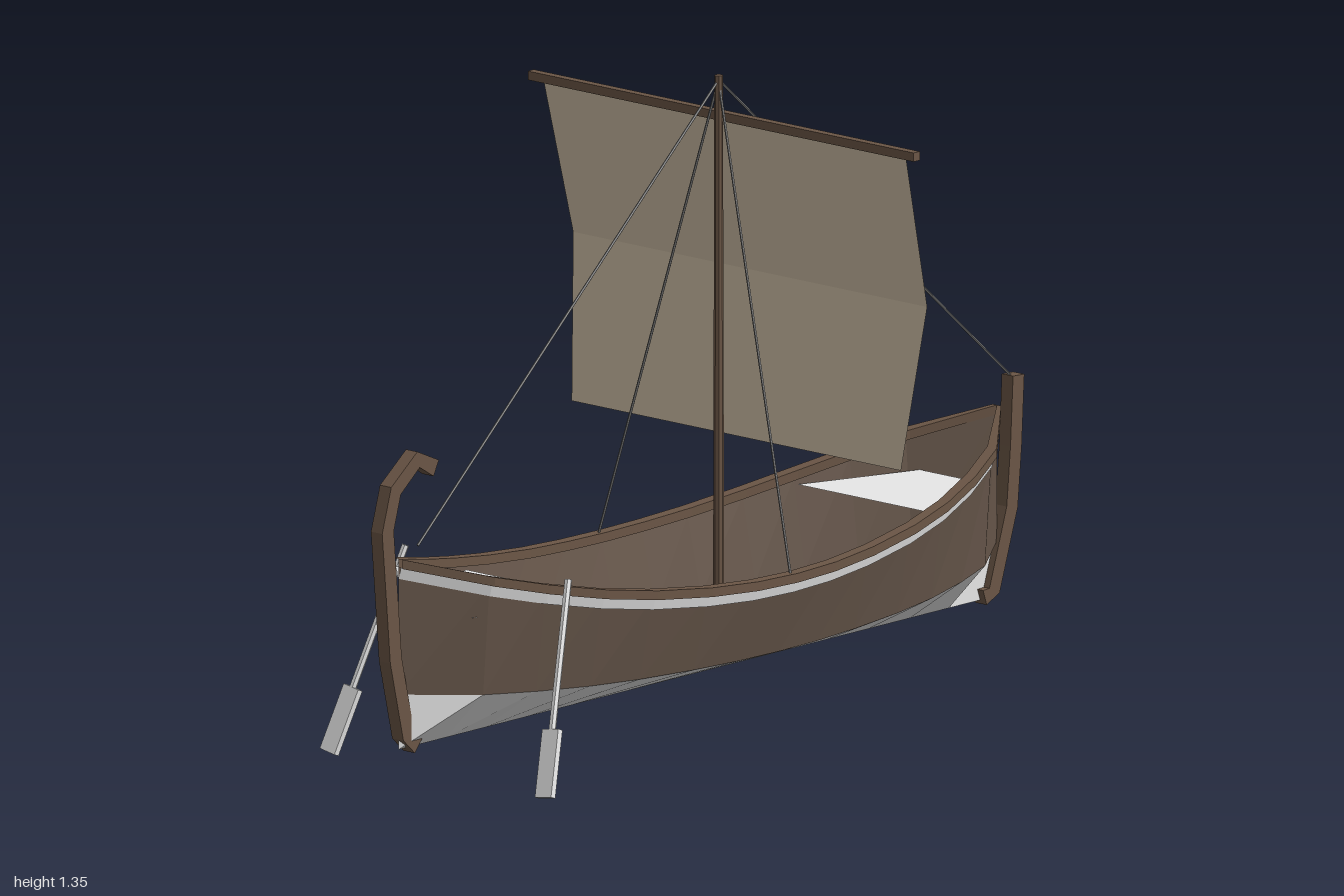
import * as THREE from 'three';

const mat = (name, color, side = THREE.FrontSide) => {
  const m = new THREE.MeshStandardMaterial({ color, side, flatShading: true });
  m.name = name;
  return m;
};

// Skin between cross-sections (arrays of [x, y, z]); flat facets
function loft(sections, { flip = false, closed = false } = {}) {
  const n = sections[0].length, pos = [], index = [];
  sections.forEach(s => s.forEach(p => pos.push(...p)));
  for (let i = 0; i < sections.length - 1; i++) {
    for (let j = 0; j < (closed ? n : n - 1); j++) {
      const k = (j + 1) % n;
      const a = i * n + j, b = a + n, c = (i + 1) * n + k, d = i * n + k;
      index.push(...(flip ? [a, c, b, a, d, c] : [a, b, c, a, c, d]));
    }
  }
  const g = new THREE.BufferGeometry();
  g.setAttribute('position', new THREE.Float32BufferAttribute(pos, 3));
  g.setIndex(index);
  const flat = g.toNonIndexed();
  flat.computeVertexNormals();
  return flat;
}

// Flat bar of constant width following a path in the x-y plane
function bar(path, width, depth) {
  const pts = path.map(p => new THREE.Vector2(...p));
  const left = [], right = [];
  pts.forEach((p, i) => {
    const t = pts[Math.min(i + 1, pts.length - 1)].clone().sub(pts[Math.max(i - 1, 0)]).normalize();
    const n = new THREE.Vector2(-t.y, t.x).multiplyScalar(width / 2);
    left.push(p.clone().add(n));
    right.unshift(p.clone().sub(n));
  });
  const g = new THREE.ExtrudeGeometry(new THREE.Shape([...left, ...right]), { depth, bevelEnabled: false });
  return g.translate(0, 0, -depth / 2);
}

// Round rod between two points
function rod(a, b, r, sides) {
  const A = new THREE.Vector3(...a), B = new THREE.Vector3(...b), d = B.clone().sub(A);
  const g = new THREE.CylinderGeometry(r, r, d.length(), sides);
  g.applyQuaternion(new THREE.Quaternion().setFromUnitVectors(new THREE.Vector3(0, 1, 0), d.normalize()));
  const c = A.add(B).multiplyScalar(0.5);
  return g.translate(c.x, c.y, c.z);
}

export function createModel() {
  const model = new THREE.Group();
  model.name = 'sailingBoat';
  const hullWood = mat('hullWood', 0x66564a, THREE.DoubleSide);
  const trimWood = mat('trimWood', 0x6b5646);
  const pale = mat('palePaint', 0xe7e7e7, THREE.DoubleSide);
  const canvas = mat('canvas', 0xd0c0a7, THREE.DoubleSide);
  const ropeGrey = mat('ropeGrey', 0x7c7c7c);
  const add = (name, geometry, material, parent = model) => {
    const m = new THREE.Mesh(geometry, material);
    m.name = name;
    parent.add(m);
    return m;
  };

  // Hull stations: [distance from midships, half width at the rail]
  const half = [[0, 0.285], [0.12, 0.282], [0.25, 0.271], [0.4, 0.252], [0.53, 0.226],
    [0.66, 0.186], [0.78, 0.136], [0.93, 0.012]];
  const stations = [...half.slice(1).reverse().map(([x, w]) => [-x, w]), ...half];
  const sheer = x => 0.342 + 0.15 * (x / 0.93) ** 2;
  const chine = x => 0.165 + 0.035 * (x / 0.93) ** 2;
  const top = w => Math.max(0, w - 0.015);

  for (const s of [1, -1]) {
    const side = s > 0 ? 'Left' : 'Right';
    const skin = (name, section, material, closed) => add(name + side,
      loft(stations.map(([x, w]) => section(x, w).map(([y, z]) => [x, y, s * z])), { flip: s < 0, closed }), material);
    skin('hullBottom', (x, w) => [[0.082, 0], [chine(x), top(w) * 0.85]], pale);
    skin('hullSide', (x, w) => [[chine(x), top(w) * 0.85], [sheer(x) - 0.018, top(w)]], hullWood);
    skin('hullStripe', (x, w) => [[sheer(x) - 0.043, top(w) + 0.001], [sheer(x) - 0.018, top(w) + 0.007]], pale);
    skin('rail', (x, w) => {
      const inner = Math.max(0, w - 0.027), y = sheer(x);
      return [[y - 0.02, w], [y, w], [y, inner], [y - 0.02, inner]];
    }, trimWood, true);
  }

  // End decks
  const deck = (name, a, b) => add(name, loft([a, b].map(([x, z]) => [[x, 0.36, z], [x, 0.36, -z]])), pale);
  deck('sternDeck', [-0.81, 0.1], [-0.5, 0.2]);
  deck('bowDeck', [0.53, 0.2], [0.8, 0.1]);

  // Stem and curled stern post
  add('bowPost', bar([[0.875, 0.09], [0.905, 0.1], [0.96, 0.27], [0.972, 0.4], [0.98, 0.55]], 0.035, 0.032), trimWood);
  add('sternPost', bar([[-0.885, 0.085], [-0.915, 0.11], [-0.955, 0.28], [-0.98, 0.56],
    [-0.955, 0.645], [-0.885, 0.7], [-0.83, 0.672]], 0.036, 0.032), trimWood);

  // Mast, yard and sail
  const mast = add('mast', new THREE.CylinderGeometry(0.009, 0.012, 1.265, 8), trimWood);
  mast.position.set(0.065, 0.7225, 0);
  const yard = add('yard', new THREE.BoxGeometry(0.019, 0.019, 1.09), trimWood);
  yard.position.set(0.081, 1.265, 0);
  const sailRows = [[0.12, 0.57, 0.465], [0.163, 0.92, 0.5], [0.083, 1.262, 0.512]];
  add('sail', loft(sailRows.map(([x, y, z]) => [[x, y, z], [x, y, -z]]), { flip: true }), canvas);

  // Rigging
  const head = [0.065, 1.345, 0];
  [['forestay', [0.97, 0.55, 0]], ['backstay', [-0.87, 0.51, 0]],
    ['shroudLeft', [-0.01, 0.335, 0.272]], ['shroudRight', [-0.01, 0.335, -0.272]]]
    .forEach(([name, end]) => add(name, rod(head, end, 0.003, 5), ropeGrey));

  // Steering oars
  for (const s of [1, -1]) {
    const oar = new THREE.Group();
    oar.name = s > 0 ? 'steeringOarLeft' : 'steeringOarRight';
    const up = new THREE.Vector3(0.155, 0.43, -0.075 * s);
    const length = up.length();
    up.normalize();
    const thin = new THREE.Vector3().crossVectors(up, new THREE.Vector3(0, 0, 1)).normalize();
    const wide = new THREE.Vector3().crossVectors(thin, up);
    oar.quaternion.setFromRotationMatrix(new THREE.Matrix4().makeBasis(thin, up, wide));
    oar.position.set(-0.81, 0.006, 0.305 * s);
    add('oarShaft', new THREE.CylinderGeometry(0.008, 0.008, length - 0.1, 6), pale, oar).position.y = (length + 0.1) / 2;
    add('oarBlade', new THREE.BoxGeometry(0.014, 0.145, 0.044), pale, oar).position.y = 0.0725;
    model.add(oar);
  }

  // Rows of jars lying in the hold
  const profile = [[0, 0], [0.006, 0.012], [0.02, 0.045], [0.022, 0.06], [0.017, 0.075], [0.007, 0.086],
    [0.008, 0.108], [0.011, 0.115], [0, 0.115]].map(p => new THREE.Vector2(...p));
  const jarShape = new THREE.LatheGeometry(profile, 8).rotateZ(-Math.PI / 2);
  const cargo = new THREE.Group();
  cargo.name = 'cargo';
  model.add(cargo);
  for (let i = 0; i < 5; i++) {
    for (const z of [-0.08, 0, 0.08]) {
      add('jar', jarShape, pale, cargo).position.set(-0.295 + 0.1625 * i, 0.2, z);
    }
  }
  return model;
}
